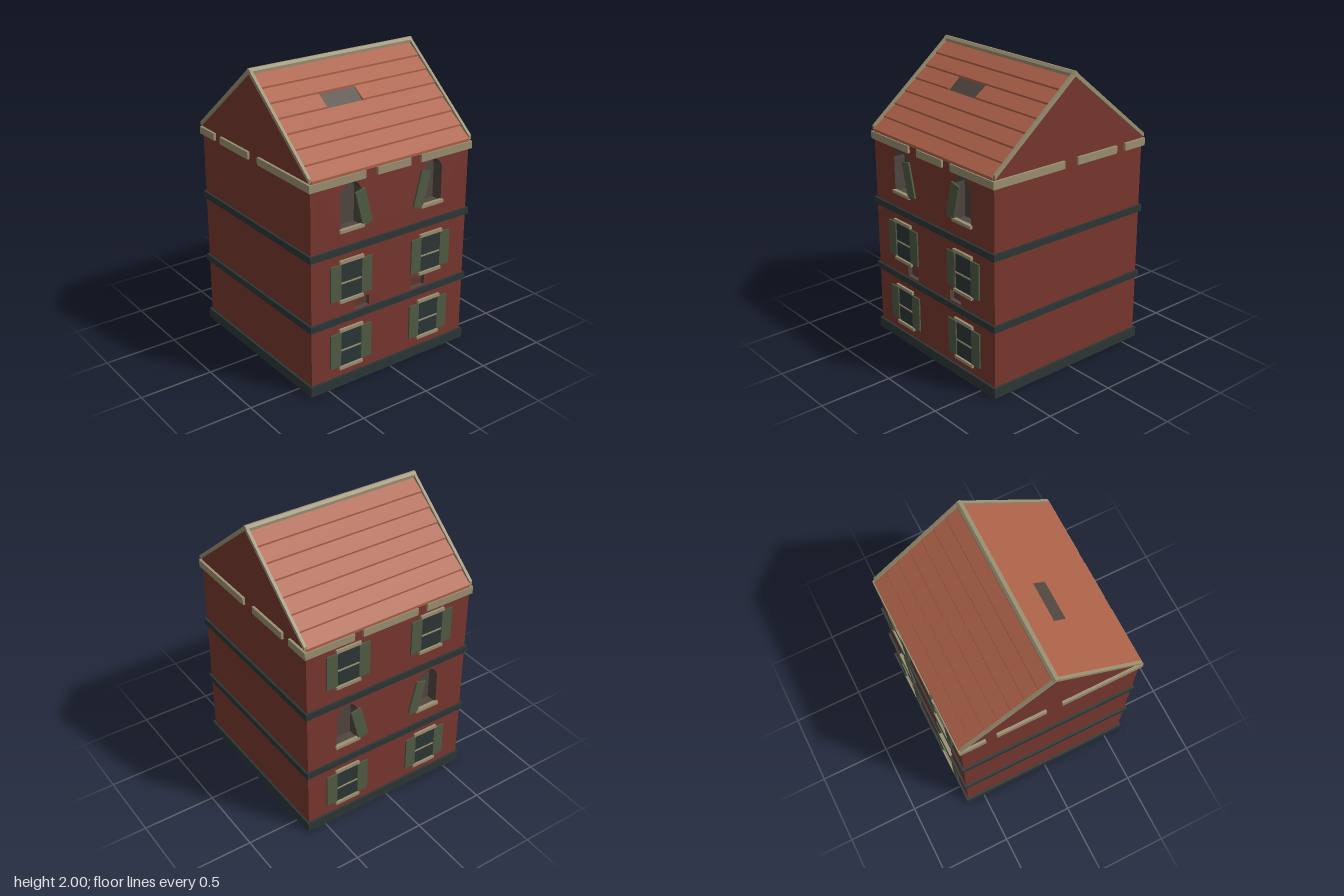
import * as THREE from 'three';

const mat = (name, color) => {
  const m = new THREE.MeshStandardMaterial({ color });
  m.name = name;
  return m;
};

export function createModel() {
  const brick = mat('brick red', 0x78372f);
  const tile = mat('roof tile', 0xad6249);
  const trim = mat('cream trim', 0x9a8f70);
  const slate = mat('dark slate', 0x2c3636);
  const green = mat('shutter green', 0x505a44);
  const grey = mat('interior grey', 0x50463f);
  const hollow = mat('missing brick', 0x5f3832);

  const house = new THREE.Group();
  house.name = 'house';

  const add = (parent, name, geo, material) => {
    const m = new THREE.Mesh(geo, material);
    m.name = name;
    parent.add(m);
    return m;
  };
  // Box from its minimum and maximum corners
  const box = (parent, name, material, x0, x1, y0, y1, z0, z1) => {
    const g = new THREE.BoxGeometry(x1 - x0, y1 - y0, z1 - z0);
    g.translate((x0 + x1) / 2, (y0 + y1) / 2, (z0 + z1) / 2);
    return add(parent, name, g, material);
  };
  const polygon = (Type, pts) => new Type(pts.map(([x, y]) => new THREE.Vector2(x, y)));
  // Profile of [z, y] points swept along x
  const prism = (parent, name, material, pts, x0, x1) => {
    const shape = polygon(THREE.Shape, pts.map(([z, y]) => [-z, y]));
    const g = new THREE.ExtrudeGeometry(shape, { depth: x1 - x0, bevelEnabled: false });
    g.rotateY(Math.PI / 2).translate(x0, 0, 0);
    return add(parent, name, g, material);
  };

  const W = 0.62;   // wall face
  const T = 0.635;  // trim face
  const roofY = z => 1.97 - 0.82 * Math.abs(z);

  // Base, floor bands and inner core
  box(house, 'base', [slate, slate, slate, grey, slate, slate], -T, T, 0, 0.07, -T, T);
  for (const y of [0.46, 0.94]) box(house, 'floorBand', slate, -T, T, y, y + 0.045, -T, T);
  box(house, 'interiorCore', grey, -0.57, 0.57, 0.07, 1.44, -0.54, 0.54);

  // Gable walls with broken cornice
  for (const s of [-1, 1]) {
    const x0 = s > 0 ? 0.58 : -W;
    prism(house, 'gableWall', brick,
      [[-W, 0.05], [W, 0.05], [W, roofY(W)], [0, roofY(0)], [-W, roofY(W)]], x0, x0 + 0.04);
    for (const [a, b] of [[0.07, T], [-0.38, -0.04], [-T, -0.455]]) {
      const c = s > 0 ? 0.6 : -T - 0.002;
      box(house, 'gableCornice', trim, c, c + 0.037, 1.4, 1.45, a, b);
    }
  }

  // Intact window with lintel, sill, glazing bar and shutters
  function window_(parent, x, y) {
    const w = new THREE.Group();
    w.name = 'window';
    w.position.set(x, y, 0);
    parent.add(w);
    box(w, 'pane', slate, -0.08, 0.08, 0.14, 0.395, W - 0.005, W + 0.003);
    box(w, 'glazingBar', trim, -0.08, 0.08, 0.25, 0.26, W, W + 0.008);
    box(w, 'lintel', trim, -0.092, 0.092, 0.393, 0.415, W - 0.01, T + 0.002);
    box(w, 'sill', trim, -0.092, 0.092, 0.12, 0.141, W - 0.01, T + 0.002);
    for (const s of [-1, 1])
      box(w, 'shutter', green, s * 0.12 - 0.04, s * 0.12 + 0.04, 0.145, 0.388, W + 0.001, T - 0.003);
  }

  // Broken arched opening: sill and one hanging shutter
  function brokenWindow(parent, s, y) {
    const w = new THREE.Group();
    w.name = 'brokenWindow';
    w.position.set(s * 0.32, y, 0);
    parent.add(w);
    box(w, 'sill', trim, -0.092, 0.092, 0.12, 0.141, W - 0.01, T + 0.002);
    const shutter = box(w, 'hangingShutter', green, -0.038, 0.038, -0.121, 0.121, -0.006, 0.006);
    shutter.position.set(-s * 0.09, 0.253, W + 0.008);
    shutter.rotation.z = -s * 0.25;
  }
  const arch = (s, y) => [[-0.08, 0.13], [0.08, 0.13], [0.08, 0.37], [0.055, 0.41], [0.03, 0.432],
    [-0.03, 0.432], [-0.055, 0.41], [-0.08, 0.37]].map(([a, b]) => [s * 0.32 + a, y + b]);

  // Facade facing +z; floors are marked broken or intact
  function facade(name, broken, cornice, missingBricks) {
    const f = new THREE.Group();
    f.name = name;
    house.add(f);
    const e = 0.6;
    const shape = polygon(THREE.Shape, [[-e, 0.05], [e, 0.05], [e, 1.458], [-e, 1.458]]);
    for (const s of [-1, 1]) {
      [0, 0.48, 0.96].forEach((y, floor) => {
        if (floor === broken) {
          shape.holes.push(polygon(THREE.Path, arch(s, y)));
          brokenWindow(f, s, y);
        } else window_(f, s * 0.32, y);
      });
      if (missingBricks) {
        const a = s * 0.228 - 0.055, b = a + 0.11;
        shape.holes.push(polygon(THREE.Path, [[a, 0.515], [b, 0.515], [b, 0.588], [a, 0.588]]));
        box(f, 'missingBrick', hollow, a - 0.004, b + 0.004, 0.51, 0.592, W - 0.05, W - 0.03);
      }
    }
    const g = new THREE.ExtrudeGeometry(shape, { depth: 0.08, bevelEnabled: false });
    g.translate(0, 0, W - 0.08);
    add(f, 'wall', g, [brick, grey]);
    for (const [a, b] of cornice) box(f, 'cornice', trim, a, b, 1.4, 1.45, 0.6, T + 0.002);
    return f;
  }
  facade('frontFacade', 2, [[-T, -0.22], [-0.13, 0.13], [0.215, T]], true);
  facade('backFacade', 1, [[-T, -0.28], [-0.215, 0.2], [0.27, T]], false).rotation.y = Math.PI;

  // Roof underlay, seen through the missing tiles
  prism(house, 'roofUnderlay', grey,
    [[-0.61, 1.445], [0.61, 1.445], [0.61, roofY(0.61)], [0, roofY(0)], [-0.61, roofY(0.61)]], -0.58, 0.58);

  // Overlapping tile rows, each with a raised lower lip
  for (const s of [-1, 1]) {
    for (let i = 0; i < 7; i++) {
      const a = 0.013 + i * 0.088, b = a + 0.089;
      const profile = [[s * a, roofY(a) - 0.002], [s * b, roofY(b) - 0.002],
        [s * b, roofY(b) + 0.016], [s * a, roofY(a) + 0.004]];
      const spans = s > 0 && i === 2 ? [[-0.616, -0.25], [0.023, 0.616]] : [[-0.616, 0.616]];
      for (const [x0, x1] of spans) prism(house, 'tileRow', tile, profile, x0, x1);
    }
    // Barge boards on both gable ends
    for (const x of [-T, 0.615])
      prism(house, 'bargeBoard', trim, [[0, roofY(0) - 0.002], [s * 0.625, roofY(0.625) + 0.002],
        [s * 0.625, roofY(0.625) + 0.029], [0, roofY(0) + 0.03]], x, x + 0.02);
  }

  // Ridge cap
  prism(house, 'ridgeCap', trim,
    [[-0.021, 1.965], [0.021, 1.965], [0.021, 1.984], [0.006, 2], [-0.006, 2], [-0.021, 1.984]], -T, T);

  return house;
}
